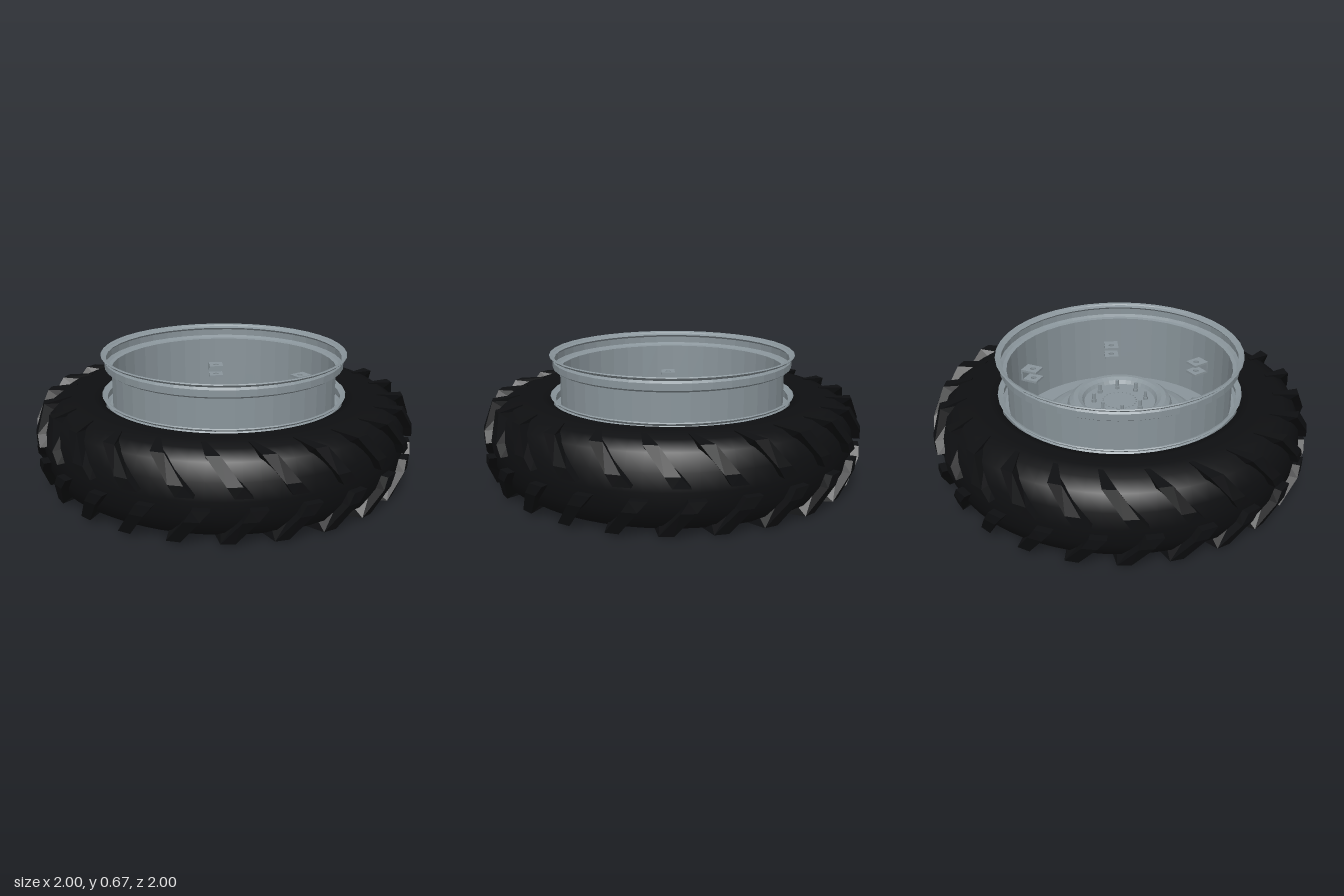
import * as THREE from 'three';
import { mergeGeometries } from 'three/addons/utils/BufferGeometryUtils.js';

const rubber = new THREE.MeshStandardMaterial({ color: 0x0e0f11, side: THREE.DoubleSide });
const tread = new THREE.MeshStandardMaterial({ color: 0x0e0f11, flatShading: true });
const steel = new THREE.MeshStandardMaterial({ color: 0x89949a, side: THREE.DoubleSide, flatShading: true });

const MID = 0.225; // mid height of the tyre
const LUGS = 24;
const vec = ([x, y]) => new THREE.Vector2(x, y);

function add(parent, name, geometry, material) {
  const mesh = new THREE.Mesh(geometry, material);
  mesh.name = name;
  parent.add(mesh);
  return mesh;
}

// Places count copies of a part evenly around the axle
function ring(parent, name, geometry, count, radius, y, start = 0) {
  for (let i = 0; i < count; i++) {
    const a = start + (i / count) * Math.PI * 2;
    const mesh = add(parent, name, geometry, steel);
    mesh.position.set(Math.sin(a) * radius, y, Math.cos(a) * radius);
    mesh.rotation.y = a;
  }
}

// One tread bar swept from the tread centre over the shoulder.
// Section: top radius, top height, base radius, base height (from MID), angle, half width
const barSections = [
  [1.0, 0.03, 0.94, 0.03, 0.02, 0.042],
  [1.0, 0.085, 0.93, 0.085, -0.02, 0.036],
  [0.95, 0.212, 0.89, 0.17, -0.12, 0.036],
  [0.81, 0.224, 0.81, 0.19, -0.18, 0.015],
];

function treadBar(side, angle) {
  const rows = barSections.map(([rt, yt, rb, yb, th, w]) => {
    const point = (r, y, a) => [Math.sin(a) * r, MID + side * y, Math.cos(a) * r];
    const a = angle + th;
    return [point(rb, yb, a - w), point(rt, yt, a - w), point(rt, yt, a + w), point(rb, yb, a + w)];
  });
  const pos = [];
  const quad = (a, b, c, d) => {
    const corners = side > 0 ? [a, b, c, a, c, d] : [a, c, b, a, d, c];
    corners.forEach((p) => pos.push(...p));
  };
  for (let i = 0; i < rows.length - 1; i++) {
    for (let k = 0; k < 4; k++) {
      const n = (k + 1) % 4;
      quad(rows[i][k], rows[i][n], rows[i + 1][n], rows[i + 1][k]);
    }
  }
  const first = rows[0], last = rows[rows.length - 1];
  quad(first[0], first[3], first[2], first[1]);
  quad(...last);
  const g = new THREE.BufferGeometry();
  g.setAttribute('position', new THREE.Float32BufferAttribute(pos, 3));
  g.computeVertexNormals();
  return g;
}

function makeTyre() {
  const tyre = new THREE.Group();
  tyre.name = 'tyre';
  const half = [[0.965, 0], [0.955, 0.09], [0.92, 0.17], [0.86, 0.21], [0.78, 0.224], [0.7, 0.222], [0.65, 0.205]];
  const upper = half.map(([r, y]) => [r, MID + y]).concat([[0.635, 0.39]]);
  const lower = half.slice(1).map(([r, y]) => [r, MID - y]).concat([[0.61, 0.025], [0.605, 0.06]]).reverse();
  add(tyre, 'carcass', new THREE.LatheGeometry(lower.concat(upper).map(vec), 72), rubber);
  const bars = [];
  for (let i = 0; i < LUGS; i++) {
    const a = (i / LUGS) * Math.PI * 2;
    bars.push(treadBar(1, a - 0.02), treadBar(-1, a + 0.05));
  }
  add(tyre, 'treadBars', mergeGeometries(bars), tread);
  return tyre;
}

// Flat plate in the xz plane with round holes, its top at y = 0
function plate(shape, depth) {
  const g = new THREE.ExtrudeGeometry(shape, { depth, bevelEnabled: false, curveSegments: 40 });
  return g.rotateX(Math.PI / 2);
}

function circlePath(x, y, r) {
  return new THREE.Path().absarc(x, y, r, 0, Math.PI * 2, true);
}

// Bracket plate with a bolt hole
function bracketGeometry() {
  const s = new THREE.Shape([[-0.04, -0.04], [0.04, -0.04], [0.04, 0.055], [-0.04, 0.055]].map(vec));
  s.holes.push(circlePath(0, 0, 0.016));
  return plate(s, 0.012);
}

// plateHeights: tops of the bracket plates above the rim's mid height
function makeRim(name, y, plateHeights) {
  const rim = new THREE.Group();
  rim.name = name;
  rim.position.y = y;
  // Half profile from the wall out to the curled flange
  const half = [[0.595, 0.123], [0.615, 0.127], [0.632, 0.138], [0.632, 0.172], [0.622, 0.183], [0.64, 0.19], [0.65, 0.2], [0.645, 0.205], [0.632, 0.2]];
  const lower = half.map(([r, h]) => [r, -h]).reverse();
  add(rim, 'rimBand', new THREE.LatheGeometry(lower.concat(half).map(vec), 40), steel);
  const bracket = bracketGeometry();
  for (const h of plateHeights) ring(rim, 'bracketPlate', bracket, 6, 0.535, h);
  const web = new THREE.BoxGeometry(0.08, 0.06, 0.01);
  ring(rim, 'bracketWeb', web, 6, 0.585, plateHeights[0] - 0.03);
  return rim;
}

function makeDisc() {
  const disc = new THREE.Group();
  disc.name = 'wheelDisc';
  // Flat mounting ring with six bolt holes
  const shape = new THREE.Shape().absarc(0, 0, 0.594, 0, Math.PI * 2, false);
  shape.holes.push(circlePath(0, 0, 0.468));
  for (let i = 0; i < 6; i++) {
    const a = (i / 6) * Math.PI * 2;
    shape.holes.push(circlePath(Math.sin(a) * 0.535, Math.cos(a) * 0.535, 0.016));
  }
  add(disc, 'mountingRing', plate(shape, 0.012), steel).position.y = 0.2;
  // Domed bowl, steep at its rim, then a step that rolls over into the hub recess
  const bowl = [[0.47, 0.195], [0.455, 0.222], [0.43, 0.25], [0.39, 0.277], [0.34, 0.296], [0.29, 0.306], [0.284, 0.345], [0.272, 0.373], [0.25, 0.389], [0.225, 0.39], [0.203, 0.378], [0.19, 0.355]];
  add(disc, 'bowl', new THREE.LatheGeometry(bowl.map(vec), 40), steel);
  add(disc, 'hubPlate', new THREE.CylinderGeometry(0.192, 0.192, 0.014, 40), steel).position.y = 0.352;
  add(disc, 'axleStub', new THREE.CylinderGeometry(0.046, 0.046, 0.115, 16), steel).position.y = 0.292;
  // Studs, nuts and the inner rivet circle
  ring(disc, 'stud', new THREE.CylinderGeometry(0.009, 0.009, 0.06, 8), 8, 0.14, 0.38, 0.27);
  ring(disc, 'nut', new THREE.CylinderGeometry(0.014, 0.014, 0.016, 6), 8, 0.14, 0.367, 0.27);
  ring(disc, 'rivet', new THREE.CylinderGeometry(0.004, 0.004, 0.008, 6), 24, 0.09, 0.36);
  return disc;
}

export function createModel() {
  const model = new THREE.Group();
  model.name = 'tractorWheel';
  model.add(
    makeTyre(),
    makeRim('innerRim', 0.245, [-0.058]),
    makeRim('outerRim', 0.461, [-0.022, -0.078]),
    makeDisc(),
  );
  return model;
}
